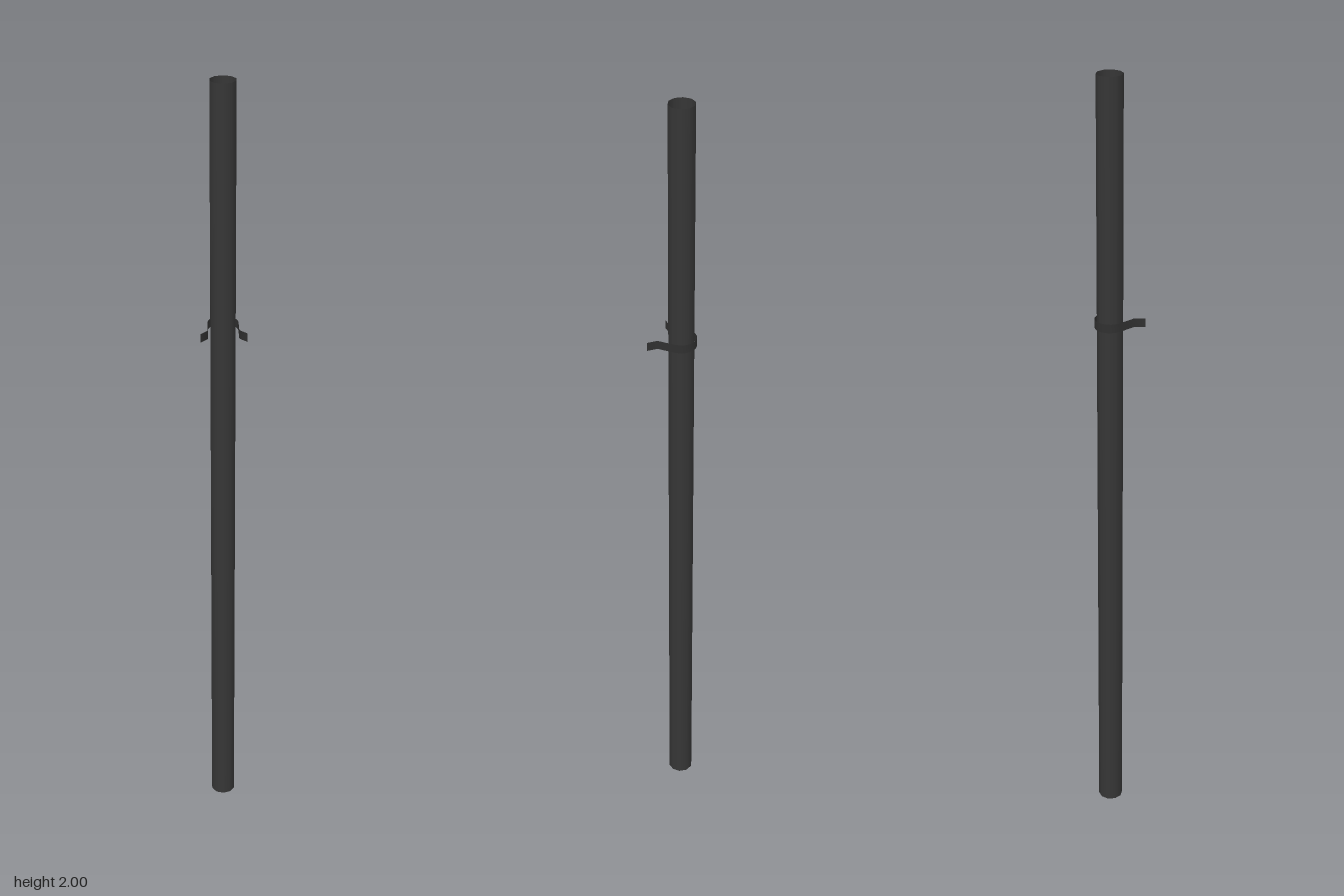
import * as THREE from 'three';

const POLE_Z = -0.011; // axis of the pole
const dark = (color) => new THREE.MeshStandardMaterial({ color, side: THREE.DoubleSide });

// Thin upright strip that follows a list of [x, z] points
function ribbon(points, height) {
  const geometry = new THREE.PlaneGeometry(1, height, points.length - 1, 1);
  const pos = geometry.attributes.position;
  for (let i = 0; i < pos.count; i++) {
    const [x, z] = points[i % points.length];
    pos.setX(i, x);
    pos.setZ(i, z);
  }
  geometry.computeVertexNormals();
  return geometry;
}

export function createModel() {
  const model = new THREE.Group();
  model.name = 'poleWithClip';

  // Open ten-sided tube
  const pole = new THREE.Mesh(
    new THREE.CylinderGeometry(0.0315, 0.0315, 2, 10, 1, true),
    dark(0x363636)
  );
  pole.name = 'pole';
  pole.position.set(0, 1, POLE_Z);
  model.add(pole);

  // Spring clip: round the back of the pole, straight arms, flared tips
  const radius = 0.037;
  const steps = 10;
  const path = [[-0.055, 0.053], [-0.037, 0.034]];
  for (let i = 0; i <= steps; i++) {
    const a = Math.PI * (1 + i / steps);
    path.push([radius * Math.cos(a), POLE_Z + radius * Math.sin(a)]);
  }
  path.push([0.037, 0.034], [0.055, 0.053]);

  const clip = new THREE.Mesh(ribbon(path, 0.022), dark(0x303030));
  clip.name = 'clip';
  clip.position.y = 1.4;
  model.add(clip);

  return model;
}
